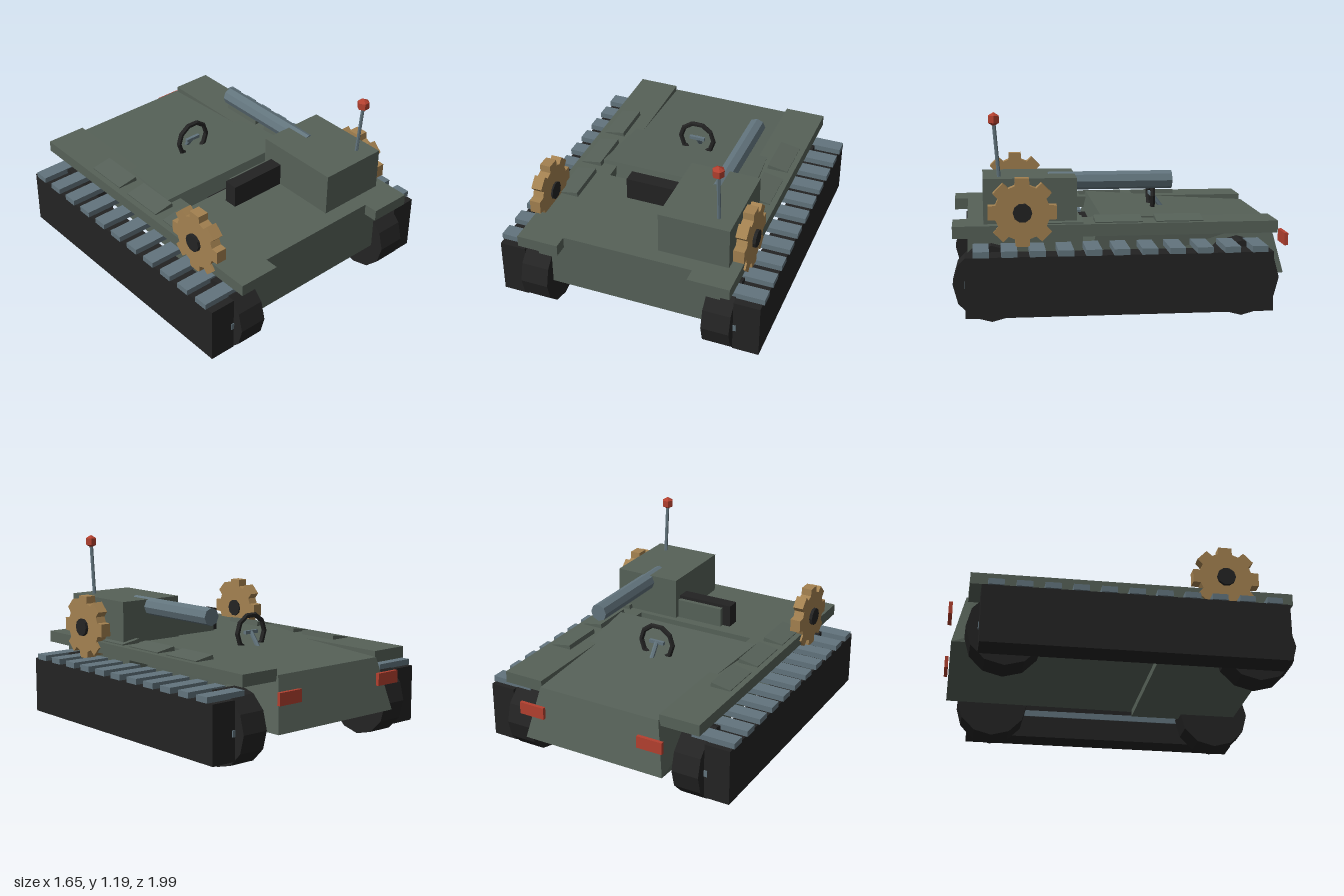
import * as THREE from 'three';

const mat = (name, color) => {
  const m = new THREE.MeshStandardMaterial({ color });
  m.name = name;
  return m;
};

export function createModel() {
  const green = mat('armourGreen', 0x566158);
  const black = mat('rubberBlack', 0x232323);
  const steel = mat('steelBlue', 0x62747d);
  const brass = mat('brassTan', 0xa38150);
  const red = mat('signalRed', 0xb3402f);
  const root = new THREE.Group();
  root.name = 'trackedVehicle';

  const add = (name, geo, material) => {
    let g = geo.index ? geo.toNonIndexed() : geo;
    g.computeVertexNormals();
    const m = new THREE.Mesh(g, material);
    m.name = name;
    root.add(m);
    return m;
  };
  // Box from its minimum and maximum on each axis
  const box = (name, material, x0, x1, y0, y1, z0, z1) => {
    const m = add(name, new THREE.BoxGeometry(x1 - x0, y1 - y0, z1 - z0), material);
    m.position.set((x0 + x1) / 2, (y0 + y1) / 2, (z0 + z1) / 2);
    return m;
  };
  // Same box on both sides, given for the left (+x)
  const pair = (name, material, x0, x1, ...rest) => {
    box(name + 'Left', material, x0, x1, ...rest);
    box(name + 'Right', material, -x1, -x0, ...rest);
  };
  // Rod between two points
  const rod = (name, material, a, b, r, sides) => {
    const from = new THREE.Vector3(...a), to = new THREE.Vector3(...b);
    const m = add(name, new THREE.CylinderGeometry(r, r, from.distanceTo(to), sides), material);
    m.position.copy(from).lerp(to, 0.5);
    m.quaternion.setFromUnitVectors(new THREE.Vector3(0, 1, 0), to.sub(from).normalize());
    return m;
  };

  // Front hull
  box('frontHull', green, -0.57, 0.57, 0.21, 0.56, 0.24, 0.905);

  // Rear hull: tapered block with a deck rising toward the seat
  const rear = new THREE.BoxGeometry(2, 2, 2);
  const p = rear.attributes.position;
  for (let i = 0; i < p.count; i++) {
    const top = p.getY(i) > 0, front = p.getZ(i) > 0;
    const w = front ? 0.49 : top ? 0.4 : 0.465;
    p.setXYZ(i, p.getX(i) * w,
      top ? (front ? 0.585 : 0.525) : 0.21,
      front ? (top ? 0.13 : 0.22) : (top ? -0.9 : -0.975));
  }
  add('rearHull', rear, green);

  // Fenders with slightly tilted panels
  pair('fender', green, 0.4, 0.655, 0.49, 0.56, -0.89, 0.99);
  for (const s of [-1, 1]) {
    for (const z of [-0.32, 0.035, 0.38]) {
      const panel = add('fenderPanel', new THREE.BoxGeometry(0.128, 0.03, 0.275), green);
      panel.position.set(s * 0.555, 0.562, z);
      panel.rotation.z = -s * 0.17;
    }
  }

  // Tracks and their plates
  pair('track', black, 0.655, 0.815, 0.065, 0.41, -0.83, 0.92);
  for (let i = 0; i < 11; i++) {
    const z = -0.75 + i * 0.158;
    pair('trackPlate', steel, 0.555, 0.825, 0.41, 0.445, z - 0.045, z + 0.045);
  }

  // Wheels and axle stubs
  for (const s of [-1, 1]) {
    for (const z of [0.77, -0.68]) {
      rod('wheel', black, [s * 0.485, 0.225, z], [s * 0.655, 0.225, z], 0.222, 12);
    }
  }
  pair('axleStub', steel, 0.65, 0.675, 0.205, 0.245, -0.835, 0.925);

  // Cog wheels on the fenders
  const cog = new THREE.Shape();
  const teeth = 8, outer = 0.2, inner = 0.158;
  for (let i = 0; i < teeth; i++) {
    const a = i / teeth * Math.PI * 2;
    [[inner, -0.27], [outer, -0.2], [outer, 0.2], [inner, 0.27]].forEach(([r, d], k) => {
      const x = r * Math.cos(a + d), y = r * Math.sin(a + d);
      if (i + k === 0) cog.moveTo(x, y); else cog.lineTo(x, y);
    });
  }
  cog.closePath();
  for (const s of [-1, 1]) {
    const geo = new THREE.ExtrudeGeometry(cog, { depth: 0.066, bevelEnabled: false });
    geo.translate(0, 0, -0.033);
    const m = add('cogWheel', geo, brass);
    m.rotation.y = Math.PI / 2;
    m.position.set(s * 0.634, 0.635, 0.592);
    rod('cogHub', black, [s * 0.59, 0.635, 0.592], [s * 0.686, 0.635, 0.592], 0.055, 10);
  }

  // Seat
  box('seatBase', black, -0.21, 0.21, 0.41, 0.49, 0.16, 0.24);
  box('seatBack', black, -0.208, 0.208, 0.555, 0.7, 0.33, 0.415);
  box('seatCushion', green, -0.155, 0.155, 0.555, 0.68, 0.3, 0.33);

  // Turret and barrel
  box('turret', green, 0.158, 0.588, 0.56, 0.82, 0.275, 0.812);
  rod('barrel', steel, [0.374, 0.775, 0.43], [0.374, 0.775, -0.305], 0.054, 8);

  // Antenna
  rod('antenna', steel, [0.49, 0.57, 0.698], [0.49, 1.13, 0.744], 0.011, 6);
  add('antennaTip', new THREE.SphereGeometry(0.041, 6, 3), red).position.set(0.49, 1.152, 0.745);

  // Steering wheel
  add('steeringWheel', new THREE.TorusGeometry(0.11, 0.016, 6, 10), black).position.set(0, 0.635, -0.235);
  rod('steeringColumn', steel, [0, 0.64, -0.235], [0, 0.54, -0.31], 0.014, 6);
  box('steeringSpoke', steel, -0.05, 0.05, 0.627, 0.647, -0.245, -0.225);

  // Rear lights
  pair('rearLight', red, 0.315, 0.48, 0.378, 0.452, -1, -0.978);

  return root;
}
